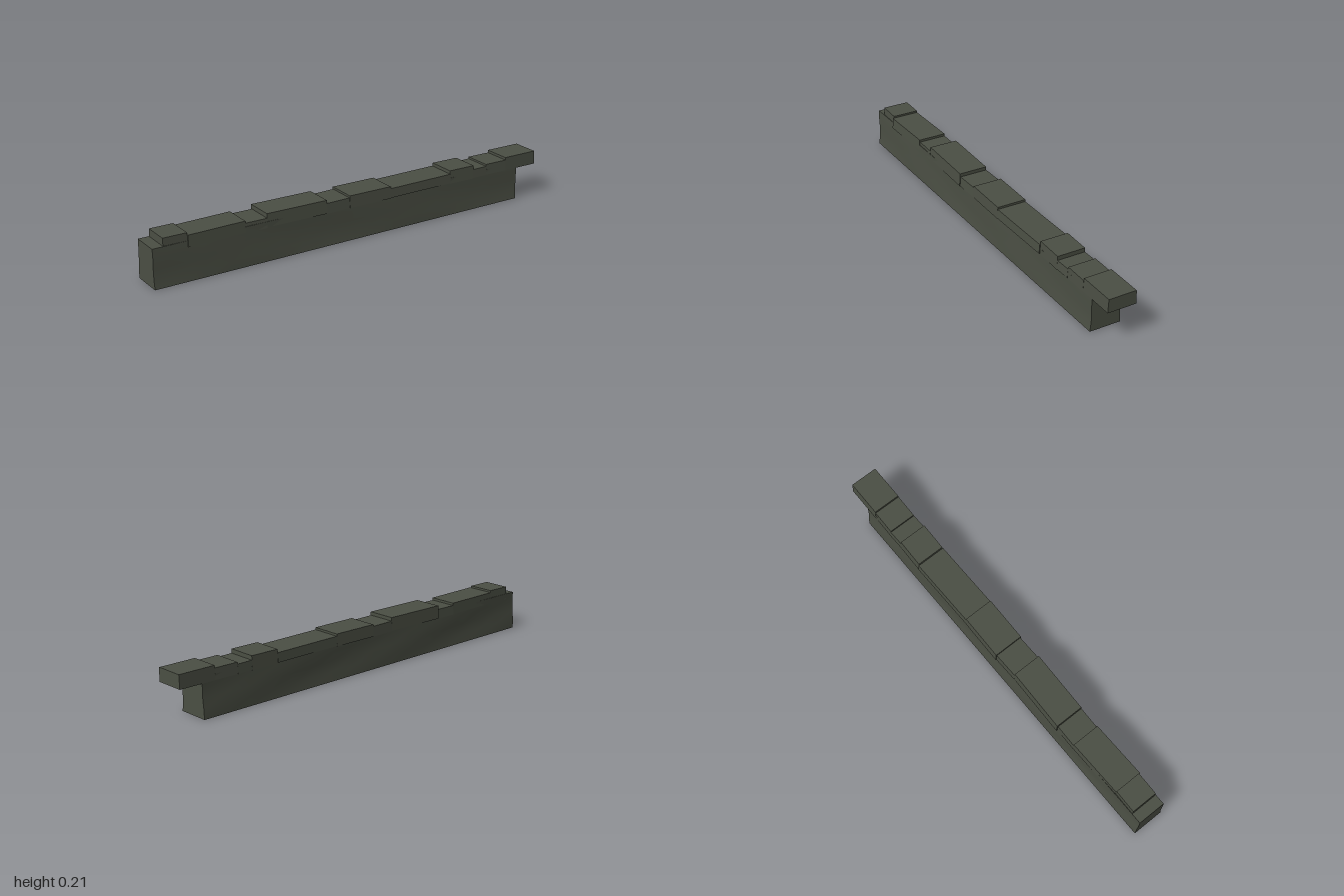
import * as THREE from 'three';

const stone = new THREE.MeshStandardMaterial({ color: 0x4b4f44 });
stone.name = 'mossy grey stone';

// Straight wall body whose two long faces bulge and dip unevenly
function wallBody() {
  const x0 = -1, x1 = 0.89, h = 0.178;
  const geo = new THREE.BoxGeometry(x1 - x0, h, 0.146, 16, 4, 1);
  geo.translate((x0 + x1) / 2, h / 2, 0);
  const p = geo.attributes.position;
  for (let i = 0; i < p.count; i++) {
    const x = p.getX(i), y = p.getY(i), side = Math.sign(p.getZ(i));
    const t = y / h;
    const wave = 0.5 + 0.5 * Math.sin(x * 7 + t * 4 + side * 1.3);
    const dent = Math.sin(Math.PI * Math.min(t * 1.1, 1)) * 0.007 * wave;
    const taper = 0.007 * t * t;
    p.setZ(i, side * (0.073 - dent - taper));
  }
  geo.computeVertexNormals();
  return geo;
}

// Cap stone from x0 to x1, slightly narrower at the top and turned a little
function capStone(x0, x1, bottom, top, halfDepth, yaw, z) {
  const geo = new THREE.BoxGeometry(x1 - x0, top - bottom, halfDepth * 2);
  const p = geo.attributes.position;
  for (let i = 0; i < p.count; i++) {
    const inset = p.getY(i) > 0 ? 0.003 : 0;
    const side = Math.sign(p.getZ(i));
    // Shear instead of rotation keeps the joints between stones square
    p.setZ(i, p.getZ(i) - side * inset + p.getX(i) * yaw);
  }
  geo.computeVertexNormals();
  const mesh = new THREE.Mesh(geo, stone);
  mesh.position.set((x0 + x1) / 2, (bottom + top) / 2, z);
  return mesh;
}

export function createModel() {
  const group = new THREE.Group();
  group.name = 'stoneWall';

  const wall = new THREE.Mesh(wallBody(), stone);
  wall.name = 'wallBody';
  group.add(wall);

  // Row of cap stones: x0, x1, bottom, top, half depth, yaw, z
  const caps = [
    [-0.95, -0.84, 0.152, 0.213, 0.065, 0.02, 0.0],
    [-0.84, -0.57, 0.152, 0.204, 0.069, -0.02, 0.001],
    [-0.57, -0.465, 0.15, 0.193, 0.068, 0.02, -0.002],
    [-0.465, -0.17, 0.152, 0.213, 0.07, 0.025, -0.001],
    [-0.17, -0.05, 0.15, 0.197, 0.069, -0.02, 0.0],
    [-0.05, 0.165, 0.152, 0.207, 0.072, 0.015, 0.0],
    [0.165, 0.5, 0.154, 0.197, 0.072, -0.01, 0.0],
    [0.5, 0.635, 0.15, 0.212, 0.069, 0.025, -0.001],
    [0.635, 0.71, 0.152, 0.193, 0.069, -0.02, 0.0],
    [0.71, 0.825, 0.152, 0.202, 0.068, 0.02, 0.0],
    [0.825, 1.0, 0.152, 0.214, 0.068, 0.01, 0.001],
  ];
  caps.forEach((c, i) => {
    const mesh = capStone(...c);
    mesh.name = 'capStone' + (i + 1);
    group.add(mesh);
  });
  return group;
}
